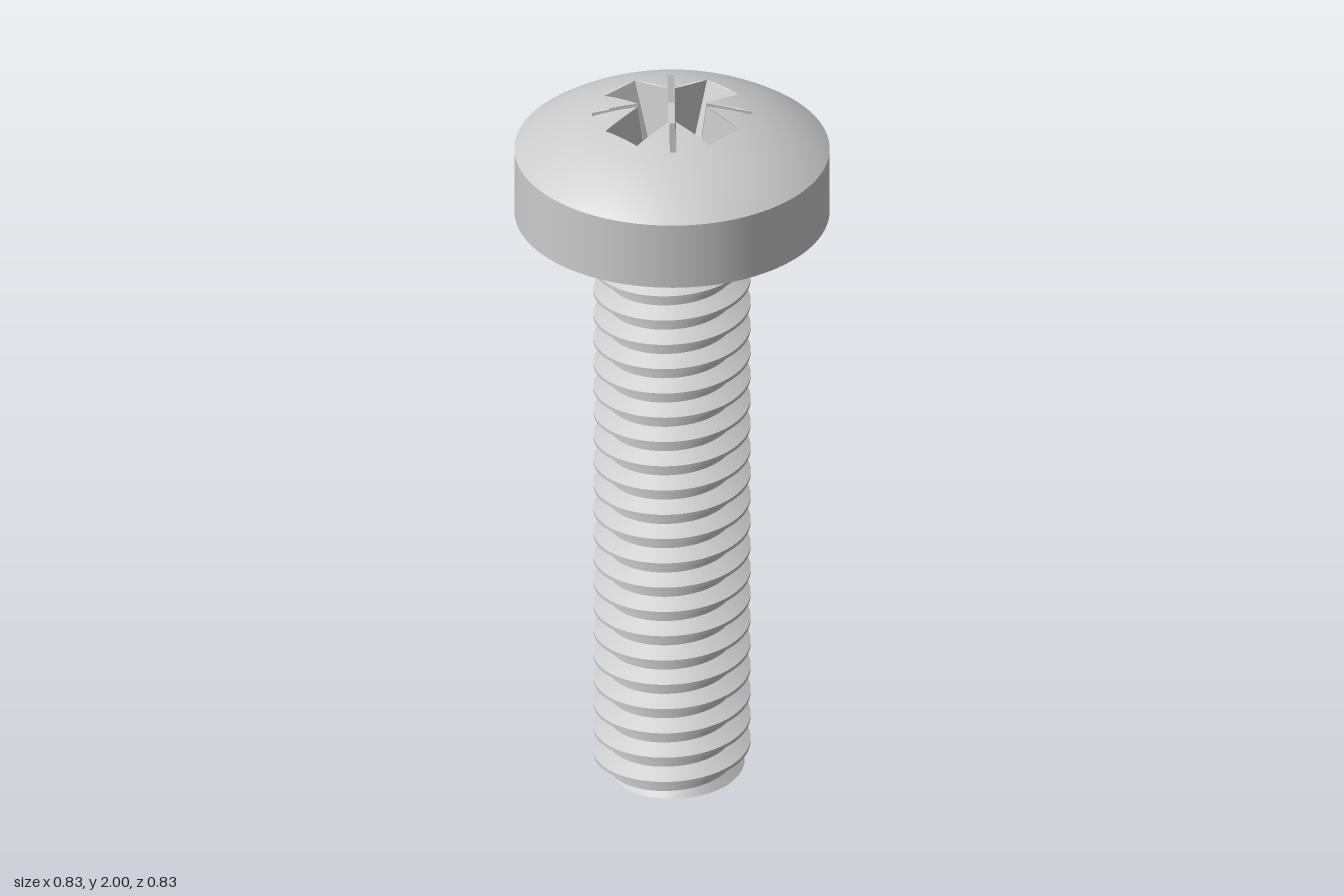
import * as THREE from 'three';
import { mergeGeometries } from 'three/addons/utils/BufferGeometryUtils.js';

const TAU = Math.PI * 2;
const HEAD_R = 0.417, HEAD_BOTTOM = 1.68, FLOOR = 1.78, SLIT_FLOOR = 1.9, CORE_R = 0.076;
const domeY = (r) => 1.306 + Math.sqrt(0.49 - r * r);
const onDome = (x, z) => new THREE.Vector3(x, domeY(Math.hypot(x, z)), z);
const RIM_Y = domeY(HEAD_R);

// Surface from a rule: i runs around from +x towards +z, j runs across
function grid(nI, nJ, fn) {
  const pos = [], idx = [];
  for (let i = 0; i <= nI; i++) for (let j = 0; j <= nJ; j++) pos.push(...fn(i, j));
  for (let i = 0; i < nI; i++) for (let j = 0; j < nJ; j++) {
    const a = i * (nJ + 1) + j, b = a + nJ + 1;
    idx.push(a, a + 1, b, a + 1, b + 1, b);
  }
  const g = new THREE.BufferGeometry();
  g.setAttribute('position', new THREE.Float32BufferAttribute(pos, 3));
  g.setIndex(idx);
  g.computeVertexNormals();
  return g;
}

// Threaded shaft: one helical strip per face of the thread profile
const PITCH = 0.0736, START = 0.024, ROOT = 0.166, CREST = 0.208;
const BREAKS = [0, 0.25, 0.56, 0.69, 1];
function threadRadius(y, angle) {
  let f = (y - START) / PITCH + angle / TAU;
  f -= Math.floor(f);
  let t = 1;
  if (f < 0.25) t = 0;
  else if (f < 0.56) t = (f - 0.25) / 0.31;
  else if (f > 0.69) t = (1 - f) / 0.31;
  return Math.min(ROOT + (CREST - ROOT) * t, 0.182 + y);
}
function shaftPoint(y, angle) {
  const yc = THREE.MathUtils.clamp(y, 0, HEAD_BOTTOM), r = threadRadius(yc, angle);
  return [r * Math.cos(angle), yc, r * Math.sin(angle)];
}
function threadGeometry() {
  const N = 72, strips = [];
  for (let k = -1; k < 25; k++) for (let s = 0; s < 4; s++) {
    const low = START + (k + BREAKS[s]) * PITCH, high = START + (k + BREAKS[s + 1]) * PITCH;
    if (high <= 0 || low - PITCH >= HEAD_BOTTOM) continue;
    strips.push(grid(N, 1, (i, j) => {
      const a = (i / N) * TAU;
      return shaftPoint((j ? high : low) - (PITCH * a) / TAU, a);
    }));
  }
  return mergeGeometries(strips);
}

// Key points of one quarter of the cross recess
const W = 0.058, SLIT = 0.0125;
const diag = (r, side) => [r * Math.SQRT1_2 + side * SLIT / 2, r * Math.SQRT1_2 - side * SLIT / 2];
const E1 = [0.193, W], P1 = [W + SLIT, W], S1 = diag(0.212, 1);
const swap = ([x, z]) => [z, x];
const quarterOutline = [E1, P1, S1, swap(S1), swap(P1), swap(E1)];
const turn = ([x, z], q) => {
  for (let i = 0; i < q; i++) [x, z] = [-z, x];
  return [x, z];
};

// Dome: every ray runs from the rim to the recess outline
function domeGeometry() {
  const corners = [], outline = [], SUB = 12, RINGS = 12;
  for (let q = 0; q < 4; q++) quarterOutline.forEach((p) => corners.push(turn(p, q)));
  corners.forEach(([x, z], n) => {
    const [u, v] = corners[(n + 1) % corners.length];
    for (let s = 0; s < SUB; s++) outline.push([x + (u - x) * s / SUB, z + (v - z) * s / SUB]);
  });
  const g = grid(outline.length, RINGS, (i, j) => {
    const [x, z] = outline[i % outline.length], inner = Math.hypot(x, z);
    const r = HEAD_R + (inner - HEAD_R) * j / RINGS;
    return [x / inner * r, domeY(r), z / inner * r];
  });
  // true spherical normals
  const p = g.attributes.position, v = new THREE.Vector3();
  for (let i = 0; i < p.count; i++) {
    v.fromBufferAttribute(p, i);
    v.y -= 1.306;
    v.normalize();
    g.attributes.normal.setXYZ(i, v.x, v.y, v.z);
  }
  return g;
}

// Recess walls and floors as flat polygons that face the opening
function recessGeometry() {
  const pos = [], target = new THREE.Vector3(0, 2.2, 0);
  function polygon(pts) {
    for (let i = 1; i < pts.length - 1; i++) {
      const t = new THREE.Triangle(pts[0], pts[i], pts[i + 1]);
      const n = t.getNormal(new THREE.Vector3()), c = t.getMidpoint(new THREE.Vector3());
      const out = n.dot(target.clone().sub(c)) > 0 ? [t.a, t.b, t.c] : [t.a, t.c, t.b];
      out.forEach((p) => pos.push(p.x, p.y, p.z));
    }
  }
  const half = 0.04, endX = 0.11, coreX = Math.sqrt(CORE_R ** 2 - half ** 2);
  const a0 = Math.asin(half / CORE_R);
  const F1 = diag(0.192, 1), Q1 = [0.049 + SLIT, 0.049], B1 = [coreX, half], C1 = [endX, half];
  for (let q = 0; q < 4; q++) {
    const top = (p) => onDome(...turn(p, q));
    const at = (p, y) => {
      const [x, z] = turn(p, q);
      return new THREE.Vector3(x, y, z);
    };
    // arm sides and slit sides, mirrored about the diagonal
    for (const m of [(p) => p, swap]) {
      polygon([at(m(C1), FLOOR), top(m(E1)), top(m(P1)), at(m(Q1), SLIT_FLOOR), at(m(B1), FLOOR)]);
      polygon([top(m(P1)), top(m(S1)), at(m(F1), SLIT_FLOOR), at(m(Q1), SLIT_FLOOR)]);
    }
    // slit end and floor
    polygon([top(S1), top(swap(S1)), at(swap(F1), SLIT_FLOOR), at(F1, SLIT_FLOOR)]);
    polygon([at(Q1, SLIT_FLOOR), at(F1, SLIT_FLOOR), at(swap(F1), SLIT_FLOOR), at(swap(Q1), SLIT_FLOOR)]);
    // rounded corner of the core
    const N = 6;
    for (let i = 0; i < N; i++) {
      const up = (k) => at([Q1[0] + (Q1[1] - Q1[0]) * k / N, Q1[1] + (Q1[0] - Q1[1]) * k / N], SLIT_FLOOR);
      const down = (k) => {
        const a = a0 + (Math.PI / 2 - 2 * a0) * k / N;
        return at([CORE_R * Math.cos(a), CORE_R * Math.sin(a)], FLOOR);
      };
      polygon([up(i), up(i + 1), down(i + 1), down(i)]);
    }
    // arm end and arm floor
    const mir = ([x, z]) => [x, -z];
    polygon([top(E1), top(mir(E1)), at(mir(C1), FLOOR), at(C1, FLOOR)]);
    for (let i = 0; i < 8; i++) {
      const edge = (k) => {
        const a = a0 * (k / 4 - 1);
        return [CORE_R * Math.cos(a), CORE_R * Math.sin(a)];
      };
      const a = edge(i), b = edge(i + 1);
      polygon([at(a, FLOOR), at([endX, a[1]], FLOOR), at([endX, b[1]], FLOOR), at(b, FLOOR)]);
    }
  }
  const g = new THREE.BufferGeometry();
  g.setAttribute('position', new THREE.Float32BufferAttribute(pos, 3));
  g.computeVertexNormals();
  return g;
}

export function createModel() {
  const group = new THREE.Group();
  const material = new THREE.MeshStandardMaterial({ color: 0xcccccc });
  const add = (name, geometry) => {
    const mesh = new THREE.Mesh(geometry, material);
    mesh.name = name;
    group.add(mesh);
    return mesh;
  };
  const lathe = (pts, n = 72) => new THREE.LatheGeometry(pts.map(([x, y]) => new THREE.Vector2(x, y)), n);

  add('shaftThread', threadGeometry());
  add('shaftEnd', grid(72, 1, (i, j) => (j ? shaftPoint(0, (i / 72) * TAU) : [0, 0, 0])));

  // Concave fillet where the shaft meets the head
  const fillet = [];
  for (let i = 0; i <= 6; i++) {
    const a = (i / 6) * Math.PI / 2;
    fillet.push([0.212 - 0.042 * Math.cos(a), 1.632 + 0.048 * (1 - Math.cos(a)) * 0.4 + 0.0288 * Math.sin(a)]);
  }
  add('neckFillet', lathe(fillet));

  add('headUnderside', lathe([[0, HEAD_BOTTOM], [HEAD_R, HEAD_BOTTOM]], 144));
  add('headSide', lathe([[HEAD_R, HEAD_BOTTOM], [HEAD_R, RIM_Y]], 144));
  add('headDome', domeGeometry());
  add('driveRecess', recessGeometry());
  add('recessCone', lathe([[CORE_R, FLOOR], [0, FLOOR - 0.035]], 48));
  return group;
}
